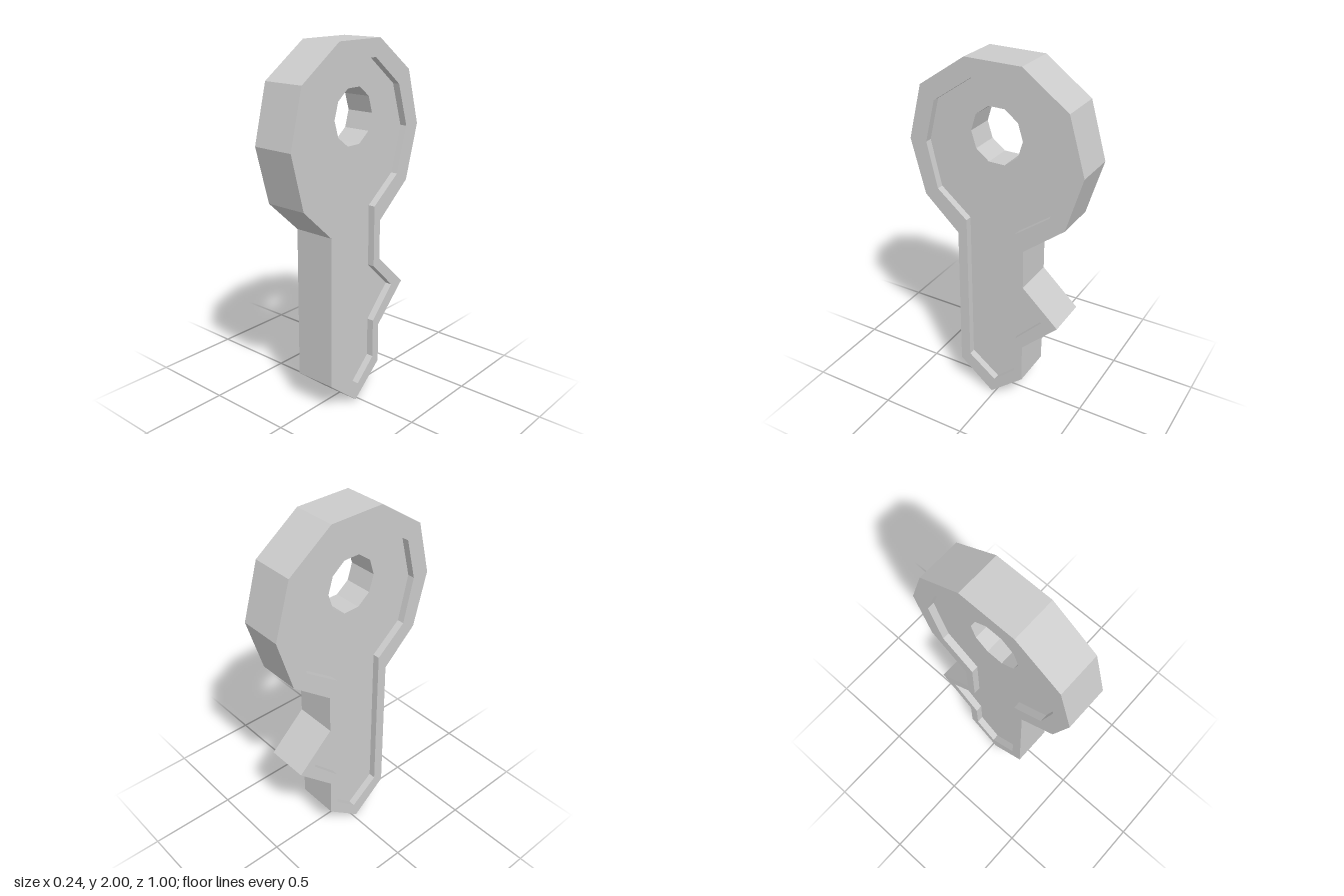
import * as THREE from 'three';

const HALF = 0.12;   // half thickness of the key
const FLOOR = 0.08;  // half thickness inside the recess

// Profiles as [u, y], clockwise; u runs towards the back of the key
const OUTLINE = [
  [-0.155, 2], [0.16, 2], [0.41, 1.82], [0.5, 1.515], [0.41, 1.21], [0.18, 1.025],
  [0.18, 0.8], [0.39, 0.605], [0.18, 0.4], [0.18, 0.17], [-0.02, 0], [-0.225, 0.17],
  [-0.22, 1.025], [-0.42, 1.21], [-0.5, 1.515], [-0.42, 1.82],
];
const RECESS = [
  [-0.115, 1.905], [0.125, 1.905], [0.325, 1.75], [0.4, 1.515], [0.325, 1.26], [0.13, 1.115],
  [0.13, 0.77], [0.295, 0.61], [0.13, 0.44], [0.13, 0.215], [0, 0.095], [-0.165, 0.22],
  [-0.165, 1.115], [-0.34, 1.26], [-0.4, 1.515], [-0.34, 1.75],
];
const HOLE = Array.from({ length: 10 }, (_, i) => {
  const a = -i * Math.PI / 5;
  return [0.148 * Math.cos(a), 1.615 + 0.155 * Math.sin(a)];
});

const toPoints = (loop) => loop.map(([u, y]) => new THREE.Vector2(u, y));

// Flat face with an opening, facing +w or -w
function face(loop, opening, w) {
  const shape = new THREE.Shape(toPoints(loop));
  shape.holes.push(new THREE.Path(toPoints(opening)));
  const geometry = new THREE.ShapeGeometry(shape);
  if (w < 0) geometry.setIndex(Array.from(geometry.index.array).reverse());
  geometry.translate(0, 0, w);
  const flat = geometry.toNonIndexed();
  flat.computeVertexNormals();
  return flat;
}

// Straight wall along a loop; inward walls face the middle of the loop
function wall(loop, w0, w1, inward = false) {
  const points = inward ? [...loop].reverse() : loop;
  const positions = [];
  points.forEach((a, i) => {
    const b = points[(i + 1) % points.length];
    positions.push(...a, w0, ...b, w1, ...b, w0, ...a, w0, ...a, w1, ...b, w1);
  });
  const geometry = new THREE.BufferGeometry();
  geometry.setAttribute('position', new THREE.Float32BufferAttribute(positions, 3));
  geometry.computeVertexNormals();
  return geometry;
}

export function createModel() {
  const key = new THREE.Group();
  key.name = 'key';
  const material = new THREE.MeshStandardMaterial({ color: 0xcccccc, flatShading: true });
  const add = (name, geometry) => {
    geometry.rotateY(Math.PI / 2); // profile plane becomes the side of the key
    const mesh = new THREE.Mesh(geometry, material);
    mesh.name = name;
    key.add(mesh);
  };

  // Outer edge and the keyring hole through the bow
  add('outerEdge', wall(OUTLINE, -HALF, HALF));
  add('ringHole', wall(HOLE, -FLOOR, FLOOR, true));

  // Raised rim, recess wall and recess floor on both sides
  for (const [side, s] of [['left', 1], ['right', -1]]) {
    add(`${side}Rim`, face(OUTLINE, RECESS, s * HALF));
    add(`${side}RecessFloor`, face(RECESS, HOLE, s * FLOOR));
    add(`${side}RecessWall`, wall(RECESS, s > 0 ? FLOOR : -HALF, s > 0 ? HALF : -FLOOR, true));
  }
  return key;
}
